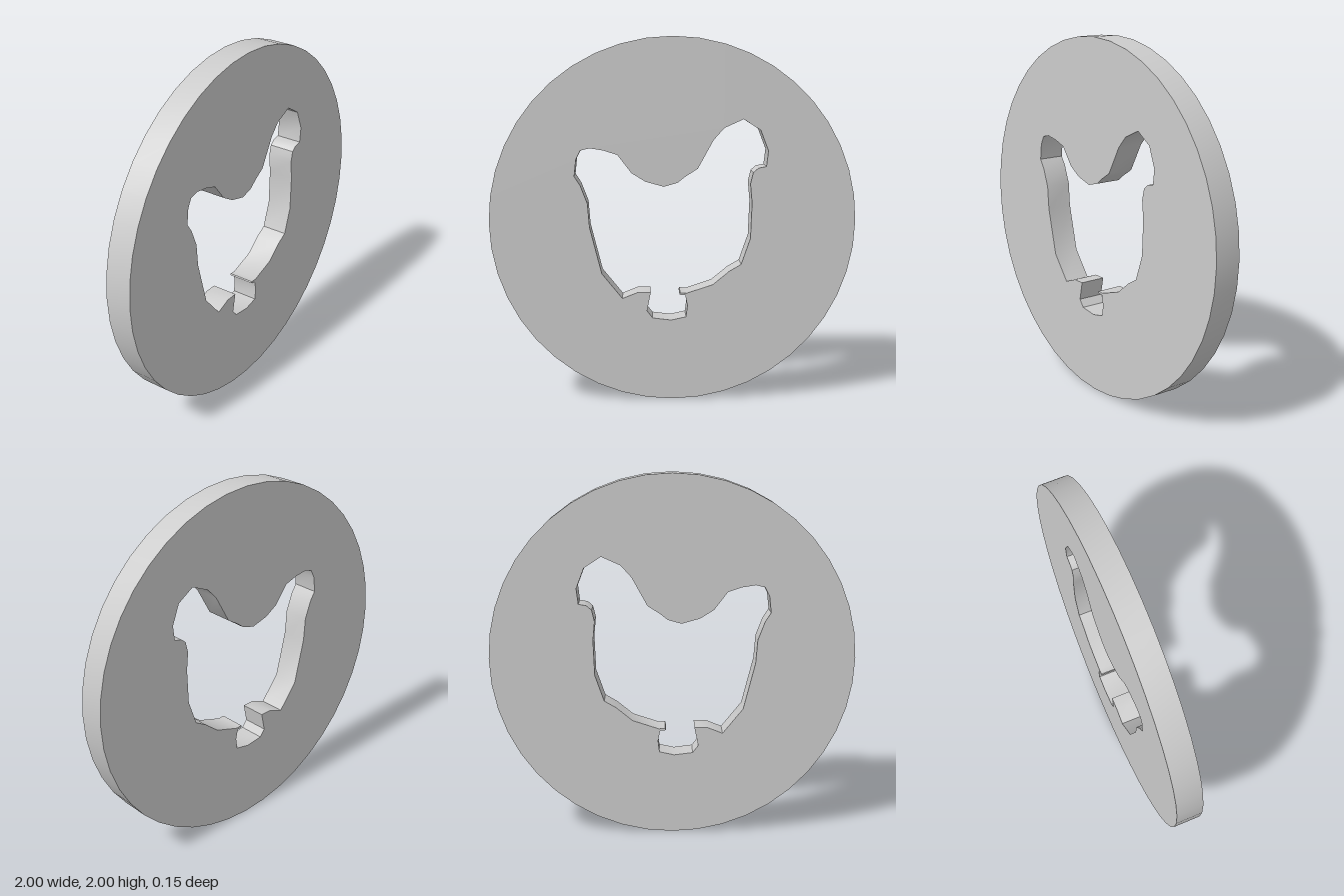
import * as THREE from 'three';
import { toCreasedNormals } from 'three/addons/utils/BufferGeometryUtils.js';

const THICKNESS = 0.148;
const RIM_SIDES = 44;

// Outline of the hen cut-out, as x, y pairs
const HEN = [
  // tail
  [-0.535, 1.25], [-0.525, 1.34], [-0.5, 1.39], [-0.45, 1.402], [-0.375, 1.39], [-0.3, 1.365],
  // back and neck
  [-0.225, 1.267], [-0.15, 1.22], [-0.05, 1.192], [0.025, 1.213], [0.065, 1.245], [0.135, 1.29],
  [0.22, 1.445], [0.278, 1.51],
  // head and beak
  [0.382, 1.557], [0.475, 1.497], [0.518, 1.385], [0.508, 1.3], [0.465, 1.292], [0.437, 1.268],
  // breast and belly
  [0.422, 1.205], [0.432, 1.1], [0.425, 0.905], [0.375, 0.76], [0.31, 0.722], [0.22, 0.648],
  [0.075, 0.6],
  // thin sliver beside the leg
  [0.04, 0.603], [0.036, 0.595], [0.045, 0.59], [0.068, 0.589],
  // foot
  [0.08, 0.53], [0.072, 0.467], [-0.01, 0.449], [-0.112, 0.462], [-0.143, 0.502], [-0.122, 0.607],
  // rump
  [-0.193, 0.607], [-0.278, 0.573], [-0.39, 0.712], [-0.455, 0.97], [-0.465, 1.1], [-0.503, 1.2]
];

export function createModel() {
  const group = new THREE.Group();
  group.name = 'henMedallion';

  // Round disc
  const rim = [];
  for (let i = 0; i < RIM_SIDES; i++) {
    const a = (i / RIM_SIDES) * Math.PI * 2;
    rim.push(new THREE.Vector2(Math.cos(a), 1 + Math.sin(a)));
  }
  const shape = new THREE.Shape(rim);

  // Hen-shaped opening
  shape.holes.push(new THREE.Path(HEN.map(([x, y]) => new THREE.Vector2(x, y))));

  const geometry = new THREE.ExtrudeGeometry(shape, { depth: THICKNESS, bevelEnabled: false });
  geometry.translate(0, 0, -THICKNESS / 2);

  const disc = new THREE.Mesh(
    toCreasedNormals(geometry, 0.6),
    new THREE.MeshStandardMaterial({ color: 0xcccccc })
  );
  disc.name = 'discWithHenCutout';
  group.add(disc);
  return group;
}
